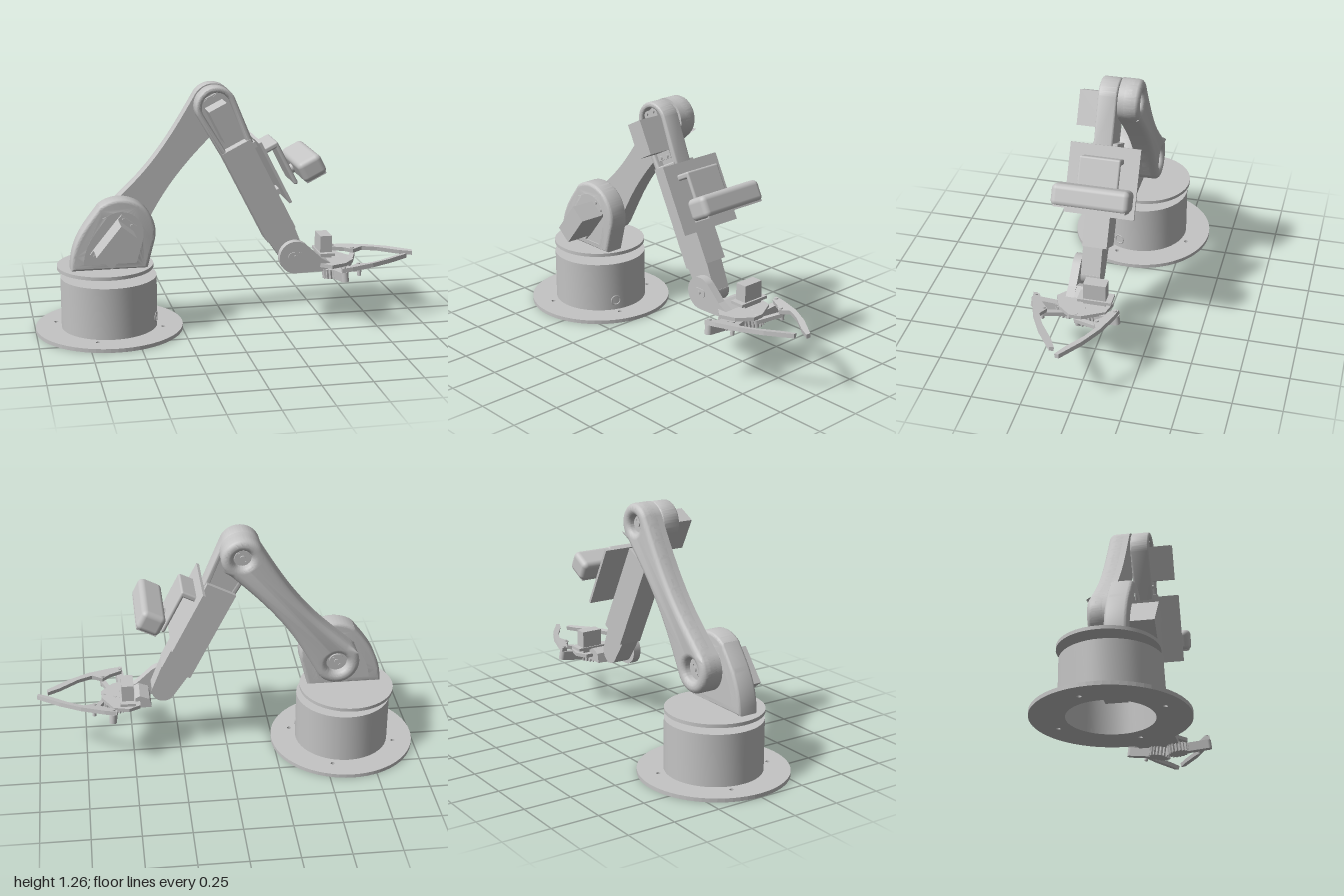
import * as THREE from 'three';
import { toCreasedNormals } from 'three/addons/utils/BufferGeometryUtils.js';
import { RoundedBoxGeometry } from 'three/addons/geometries/RoundedBoxGeometry.js';

const grey = new THREE.MeshStandardMaterial({ color: 0xc4c4c4 });
grey.name = 'light grey';
const rad = THREE.MathUtils.degToRad;

function add(parent, name, geometry, x = 0, y = 0, z = 0) {
  const m = new THREE.Mesh(geometry, grey);
  m.name = name;
  m.position.set(x, y, z);
  parent.add(m);
  return m;
}
const box = (p, name, x0, x1, y0, y1, z0, z1) =>
  add(p, name, new THREE.BoxGeometry(x1 - x0, y1 - y0, z1 - z0), (x0 + x1) / 2, (y0 + y1) / 2, (z0 + z1) / 2);

// Slab in the xy plane between z0 and z1; the bevel stays inside the outline
function slab(p, name, shape, z0, z1, bevel = 0) {
  const g = new THREE.ExtrudeGeometry(shape, {
    depth: z1 - z0 - 2 * bevel, curveSegments: 32, bevelEnabled: bevel > 0,
    bevelSize: bevel, bevelThickness: bevel, bevelOffset: -bevel, bevelSegments: 5,
  });
  return add(p, name, bevel ? toCreasedNormals(g, 0.5) : g, 0, 0, z0 + bevel);
}
// Slab whose outline is in the xz plane
function flat(p, name, shape, y0, y1) {
  const g = new THREE.ExtrudeGeometry(shape, { depth: y1 - y0, curveSegments: 32, bevelEnabled: false });
  return add(p, name, g.rotateX(Math.PI / 2), 0, y1, 0);
}
const poly = (pts) => new THREE.Shape(pts.map(([x, y]) => new THREE.Vector2(x, y)));
const circle = (x, y, r) => new THREE.Path().absarc(x, y, r, 0, Math.PI * 2, false);
const disc = (p, name, x, y, z, r, h) => {
  const m = add(p, name, new THREE.CylinderGeometry(r, r, h, 32), x, y, z);
  m.rotation.x = Math.PI / 2;
  return m;
};
// Bar with round ends
function capsule([ax, ay], [bx, by], r) {
  const a = Math.atan2(by - ay, bx - ax);
  return new THREE.Shape()
    .absarc(ax, ay, r, a + Math.PI / 2, a + Math.PI * 1.5, false)
    .absarc(bx, by, r, a - Math.PI / 2, a + Math.PI / 2, false);
}

// Servo lying along local x, body facing +z
function servo(parent, x, y, angle, length, z0, z1) {
  const g = new THREE.Group();
  g.name = 'servo';
  g.position.set(x, y, 0);
  g.rotation.z = angle;
  parent.add(g);
  box(g, 'servoBody', -length / 2, length / 2, -0.05, 0.05, z0, z1);
  box(g, 'servoTabs', -0.13, 0.13, -0.05, 0.05, 0.07, 0.085);
  for (const sx of [-1, 1]) for (const sy of [-1, 1]) disc(g, 'servoScrew', sx * 0.117, sy * 0.026, 0.088, 0.009, 0.008);
}

function base(root) {
  const g = new THREE.Group();
  g.name = 'base';
  g.position.x = -0.62;
  root.add(g);
  const ring = new THREE.Shape().absarc(0, 0, 0.38, 0, Math.PI * 2, false);
  ring.holes.push(circle(0, 0, 0.21));
  for (let i = 0; i < 4; i++) {
    const a = rad(-71.5 + i * 90);
    ring.holes.push(circle(0.283 * Math.cos(a), 0.283 * Math.sin(a), 0.011));
  }
  flat(g, 'baseFlange', ring, 0, 0.02);
  const profile = [[0.247, 0.01], [0.247, 0.287], [0, 0.287], [0, 0.265], [0.21, 0.265], [0.21, 0.001]];
  add(g, 'baseDrum', toCreasedNormals(
    new THREE.LatheGeometry(profile.map(([x, y]) => new THREE.Vector2(x, y)), 48), 0.5));
  box(g, 'baseServo', -0.08, 0.14, 0.13, 0.265, -0.055, 0.055);
  add(g, 'turntableHub', new THREE.CylinderGeometry(0.11, 0.11, 0.025, 40), 0.02, 0.302, 0);
  add(g, 'turntableHorn', new THREE.CylinderGeometry(0.07, 0.07, 0.03, 40), 0.02, 0.32, 0);
  add(g, 'turntable', new THREE.CylinderGeometry(0.247, 0.247, 0.018, 64), -0.015, 0.337, -0.01);
  const port = add(g, 'cablePort', new THREE.TorusGeometry(0.025, 0.004, 6, 24), 0.231, 0.073, 0.086);
  port.rotation.y = Math.PI / 2 - 0.356;
}

// Outline of the shoulder housing, shrunk by an inset
function shoulderShape(i) {
  const y = 0.345 + i * 0.3;
  return new THREE.Shape().moveTo(-0.82 + i, y)
    .bezierCurveTo(-0.82 + i, 0.5 - i * 0.3, -0.74 + i * 0.7, 0.58 - i * 0.7, -0.67 + i * 0.6, 0.674 - i * 0.8)
    .absarc(-0.565, 0.53, 0.178 - i, rad(126), rad(-15), true)
    .quadraticCurveTo(-0.41 - i, 0.42, -0.43 - i, y);
}

function shoulder(root) {
  const g = new THREE.Group();
  g.name = 'shoulder';
  root.add(g);
  const rim = shoulderShape(0);
  rim.holes.push(shoulderShape(0.045));
  slab(g, 'shoulderRim', rim, 0.0, 0.112, 0.018);
  slab(g, 'shoulderBack', shoulderShape(0.02), 0.003, 0.065);
  servo(g, -0.6, 0.49, rad(50.8), 0.2, 0.06, 0.22);
}

// Waisted arm running between the two joint centres
function upperArm(root) {
  const g = new THREE.Group();
  g.name = 'upperArm';
  g.position.set(-0.565, 0.53, 0);
  g.rotation.z = rad(51.6);
  root.add(g);
  const L = 0.797, r0 = 0.118, r1 = 0.108;
  const outline = () => new THREE.Shape()
    .absarc(0, 0, r0, rad(80), rad(280), false)
    .bezierCurveTo(0.2, -0.085, 0.28, -0.073, 0.4, -0.073)
    .bezierCurveTo(0.52, -0.073, 0.62, -0.085, L - r1 * 0.17, -r1 * 0.985)
    .absarc(L, 0, r1, rad(-100), rad(100), false)
    .bezierCurveTo(0.62, 0.085, 0.52, 0.073, 0.4, 0.073)
    .bezierCurveTo(0.28, 0.073, 0.2, 0.085, r0 * 0.17, r0 * 0.985);
  const shell = outline();
  shell.holes.push(circle(0, 0, 0.055), circle(L, 0, 0.046));
  slab(g, 'armShell', shell, -0.112, -0.004, 0.03);
  slab(g, 'armFace', outline(), -0.07, -0.003);
  for (const x of [0, L]) {
    disc(g, 'jointHorn', x, 0, -0.073, 0.04, 0.012);
    disc(g, 'hornScrew', x, 0, -0.081, 0.014, 0.008);
    for (const s of [-1, 1]) disc(g, 'hornPin', x + s * 0.027, 0, -0.08, 0.006, 0.006);
  }
}

function forearm(root) {
  const g = new THREE.Group();
  g.name = 'forearm';
  g.position.set(-0.07, 1.155, 0);
  g.rotation.z = rad(-63);
  root.add(g);
  // Elbow housing with recessed servo
  const shell = (i) => new THREE.Shape().moveTo(0.25 - i, 0.085 - i)
    .lineTo(0, 0.105 - i).absarc(0, 0, 0.105 - i, rad(90), rad(270), false).lineTo(0.25 - i, -0.09 + i);
  const rim = shell(0);
  rim.holes.push(shell(0.03));
  slab(g, 'elbowRim', rim, 0.002, 0.1, 0.012);
  slab(g, 'elbowBack', shell(0.014), 0.004, 0.06);
  servo(g, 0.065, -0.005, 0, 0.18, 0.055, 0.205);
  // Sleeve and tapered wrist end
  box(g, 'sleeve', 0.226, 0.755, -0.087, 0.077, -0.022, 0.105);
  slab(g, 'wristArm', new THREE.Shape().moveTo(0.74, 0.075).lineTo(0.9, 0.06)
    .absarc(0.89, 0, 0.062, rad(80), rad(-80), true).lineTo(0.74, -0.082), 0.0, 0.1);
  // Sensor mount: plate, hook and rounded camera body
  box(g, 'mountPlate', 0.236, 0.59, 0.095, 0.11, -0.15, 0.21);
  for (const x of [0.27, 0.55]) box(g, 'standoff', x - 0.015, x + 0.015, 0.07, 0.1, 0.0, 0.08);
  add(g, 'hookFoot', new RoundedBoxGeometry(0.03, 0.09, 0.21, 3, 0.01), 0.308, 0.145, 0.035);
  add(g, 'hookPlate', new RoundedBoxGeometry(0.25, 0.022, 0.21, 3, 0.01), 0.418, 0.18, 0.035);
  add(g, 'cameraNeck', new THREE.CylinderGeometry(0.025, 0.025, 0.05, 20), 0.488, 0.2, 0.035);
  add(g, 'cameraBody', new RoundedBoxGeometry(0.112, 0.13, 0.39, 4, 0.028), 0.484, 0.277, 0.035);
  box(g, 'cameraFace', 0.53, 0.542, 0.222, 0.332, -0.145, 0.215);
}

function wrist(root) {
  const g = new THREE.Group();
  g.name = 'wrist';
  root.add(g);
  const plate = new THREE.Shape().moveTo(0.5, 0.285).lineTo(0.335, 0.28)
    .absarc(0.335, 0.365, 0.085, rad(270), rad(50), true).lineTo(0.47, 0.355).lineTo(0.53, 0.32);
  slab(g, 'wristPlate', plate, 0.103, 0.145);
  slab(g, 'wristHorn', capsule([0.318, 0.371], [0.352, 0.371], 0.022), 0.145, 0.15);
  disc(g, 'wristScrew', 0.335, 0.371, 0.151, 0.01, 0.008);
  slab(g, 'wristBridge', poly([[0.4, 0.285], [0.5, 0.285], [0.53, 0.32], [0.46, 0.355], [0.41, 0.335]]), -0.03, 0.11);
  // Gripper base and its motor
  const deck = poly([[0.46, -0.07], [0.52, -0.1], [0.6, -0.08], [0.66, 0.03], [0.66, 0.09], [0.6, 0.16], [0.52, 0.19], [0.46, 0.14]]);
  flat(g, 'gripperDeck', deck, 0.306, 0.325);
  box(g, 'gripperServoTabs', 0.485, 0.565, 0.34, 0.355, -0.1, 0.075);
  box(g, 'gripperServo', 0.492, 0.555, 0.31, 0.443, -0.07, 0.045);
}

function gear(x, z, r) {
  const pts = [];
  for (let i = 0; i < 72; i++) {
    const a = (i / 72) * Math.PI * 2, k = i % 4 < 2 ? r : r * 0.83;
    pts.push([x + k * Math.cos(a), z + k * Math.sin(a)]);
  }
  return poly(pts);
}

// One claw; the second is a mirrored copy set slightly further back
function claw(root, mirrored) {
  const g = new THREE.Group();
  g.name = mirrored ? 'leftClaw' : 'rightClaw';
  const pivot = [0.55, 0.28, 0.08];
  g.position.set(...pivot);
  g.rotation.set(mirrored ? -0.13 : 0.13, 0, 0.07);
  root.add(g);
  const at = ([x, z]) => (mirrored ? [x - 0.05 - pivot[0], 0.16 - z - pivot[2]] : [x - pivot[0], z - pivot[2]]);
  const knuckle = at([0.605, -0.135]), elbow = at([0.7, -0.068]);
  const hub = at([0.59, 0.027]), idler = at([0.645, 0.055]);
  flat(g, 'clawGear', gear(...hub, 0.06), -0.04, 0.008);
  flat(g, 'driveLink', capsule(hub, knuckle, 0.019), -0.04, 0.008);
  flat(g, 'guideLink', capsule(idler, elbow, 0.013), -0.012, 0.008);
  for (const p of [knuckle, elbow, hub, idler]) add(g, 'linkPin', new THREE.CylinderGeometry(0.01, 0.01, 0.068, 14), p[0], 0.002, p[1]);
  const jaw = [[0.59, -0.152], [0.65, -0.14], [0.77, -0.1], [0.88, -0.042], [0.997, 0.043], [0.992, 0.065],
    [0.93, 0.032], [0.83, -0.04], [0.755, -0.075], [0.7, -0.05], [0.66, -0.085], [0.595, -0.118]];
  flat(g, 'jaw', poly(jaw.map(at)), 0.008, 0.03);
}

export function createModel() {
  const root = new THREE.Group();
  root.name = 'robotArm';
  base(root);
  shoulder(root);
  upperArm(root);
  forearm(root);
  wrist(root);
  claw(root, false);
  claw(root, true);
  return root;
}
